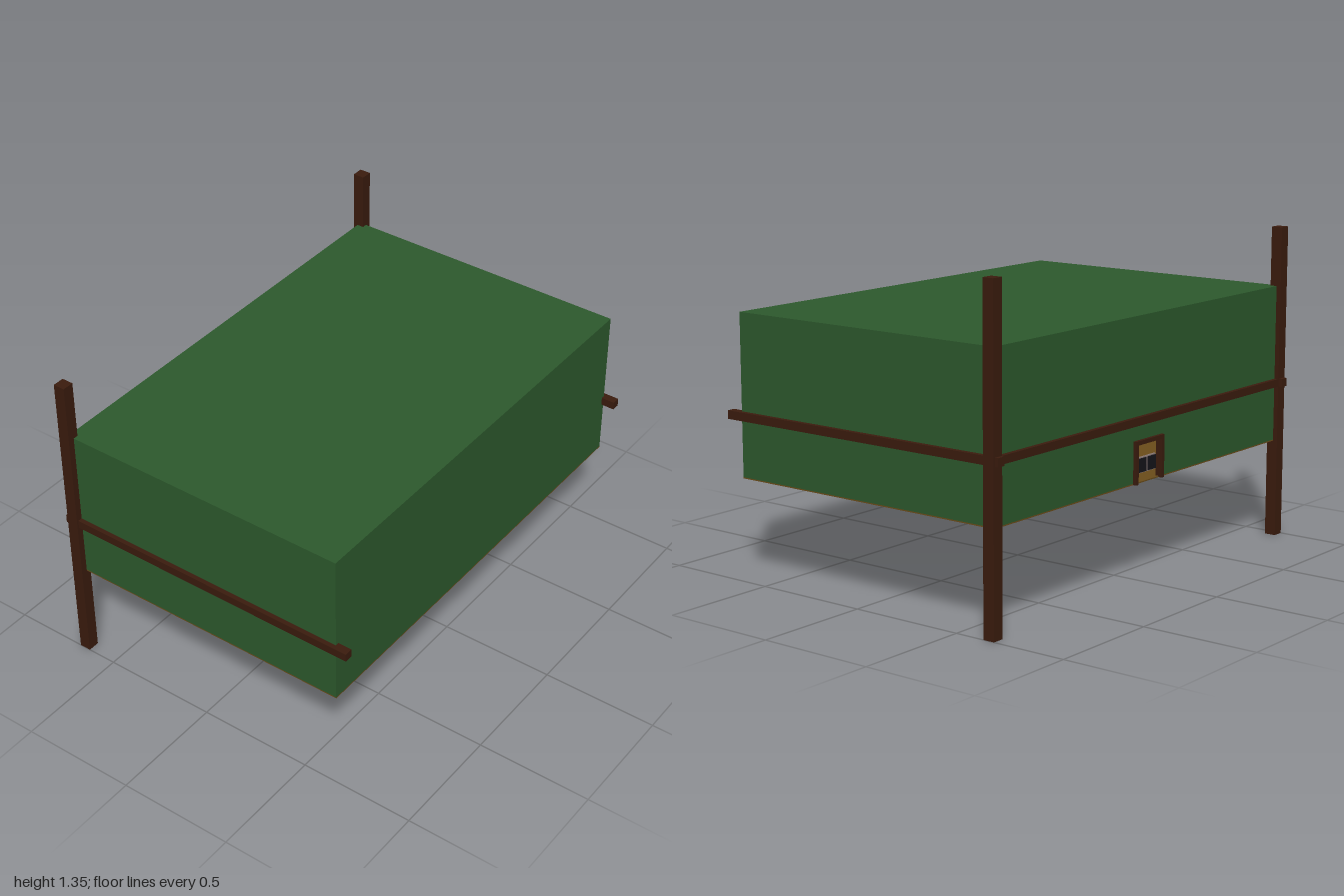
import * as THREE from 'three';

const paint = (color) => new THREE.MeshStandardMaterial({ color, flatShading: true });

export function createModel() {
  const model = new THREE.Group();
  const green = paint(0x2d5a2d), wood = paint(0x3b1c0e), ochre = paint(0x6b4d1a);
  const dark = paint(0x14141a), pale = paint(0x8a7a78);

  // Box given by its extents on each axis
  const block = (name, mat, [x0, x1], [y0, y1], [z0, z1], parent = model) => {
    const mesh = new THREE.Mesh(new THREE.BoxGeometry(x1 - x0, y1 - y0, z1 - z0), mat);
    mesh.position.set((x0 + x1) / 2, (y0 + y1) / 2, (z0 + z1) / 2);
    mesh.name = name;
    parent.add(mesh);
    return mesh;
  };

  // Hollow green body: floor, roof, front and side walls
  const X = 0.972, Y0 = 0.42, Y1 = 1.097, ZB = -0.66, ZF = 0.635, T = 0.015;
  block('floor', ochre, [-X, X], [Y0, Y0 + 0.005], [ZB, ZF]);
  block('roof', green, [-X, X], [Y1 - T, Y1], [ZB, ZF]);
  block('frontWall', green, [-X, X], [Y0 + 0.005, Y1 - T], [ZF - T, ZF]);
  for (const s of [-1, 1]) {
    const xs = s < 0 ? [-X, -X + T] : [X - T, X];
    block(s < 0 ? 'rightWall' : 'leftWall', green, xs, [Y0 + 0.005, Y1 - T], [ZB + T, ZF - T]);
  }

  // Back wall with a small hatch opening at its lower edge
  const W = 0.085, H = 0.585;
  const outline = [[-X, Y0 + 0.005], [-W, Y0 + 0.005], [-W, H], [W, H], [W, Y0 + 0.005],
    [X, Y0 + 0.005], [X, Y1 - T], [-X, Y1 - T]];
  const wallShape = new THREE.Shape(outline.map(([x, y]) => new THREE.Vector2(x, y)));
  const backWall = new THREE.Mesh(
    new THREE.ExtrudeGeometry(wallShape, { depth: T, bevelEnabled: false }), green);
  backWall.position.z = ZB;
  backWall.name = 'backWall';
  model.add(backWall);

  // Hatch frame and the pair of dark panes inside it
  const hatch = new THREE.Group();
  hatch.name = 'hatch';
  model.add(hatch);
  block('frameTop', wood, [-0.097, 0.097], [0.58, 0.597], [-0.675, -0.645], hatch);
  for (const s of [-1, 1]) {
    const side = block('frameSide', wood, [0.08, 0.097], [Y0, 0.58], [-0.675, -0.645], hatch);
    side.position.x *= s;
    const rim = block('paneRim', pale, [0.003, 0.065], [0.458, 0.522], [-0.655, -0.645], hatch);
    rim.position.x *= s;
    const pane = block('pane', dark, [0.007, 0.061], [0.462, 0.518], [-0.66, -0.64], hatch);
    pane.position.x *= s;
  }

  // Rear posts and the rails fixed to them
  for (const s of [-1, 1]) {
    const label = s < 0 ? 'right' : 'left';
    const post = block(label + 'Post', wood, [0.95, 1], [0, 1.35], [-0.68, -0.63]);
    post.position.x *= s;
    const rail = block(label + 'Rail', wood, [0.956, 0.992], [0.66, 0.695], [-0.695, 0.695]);
    rail.position.x *= s;
  }
  block('backRail', wood, [-0.99, 0.99], [0.661, 0.694], [-0.679, -0.65]);

  return model;
}
